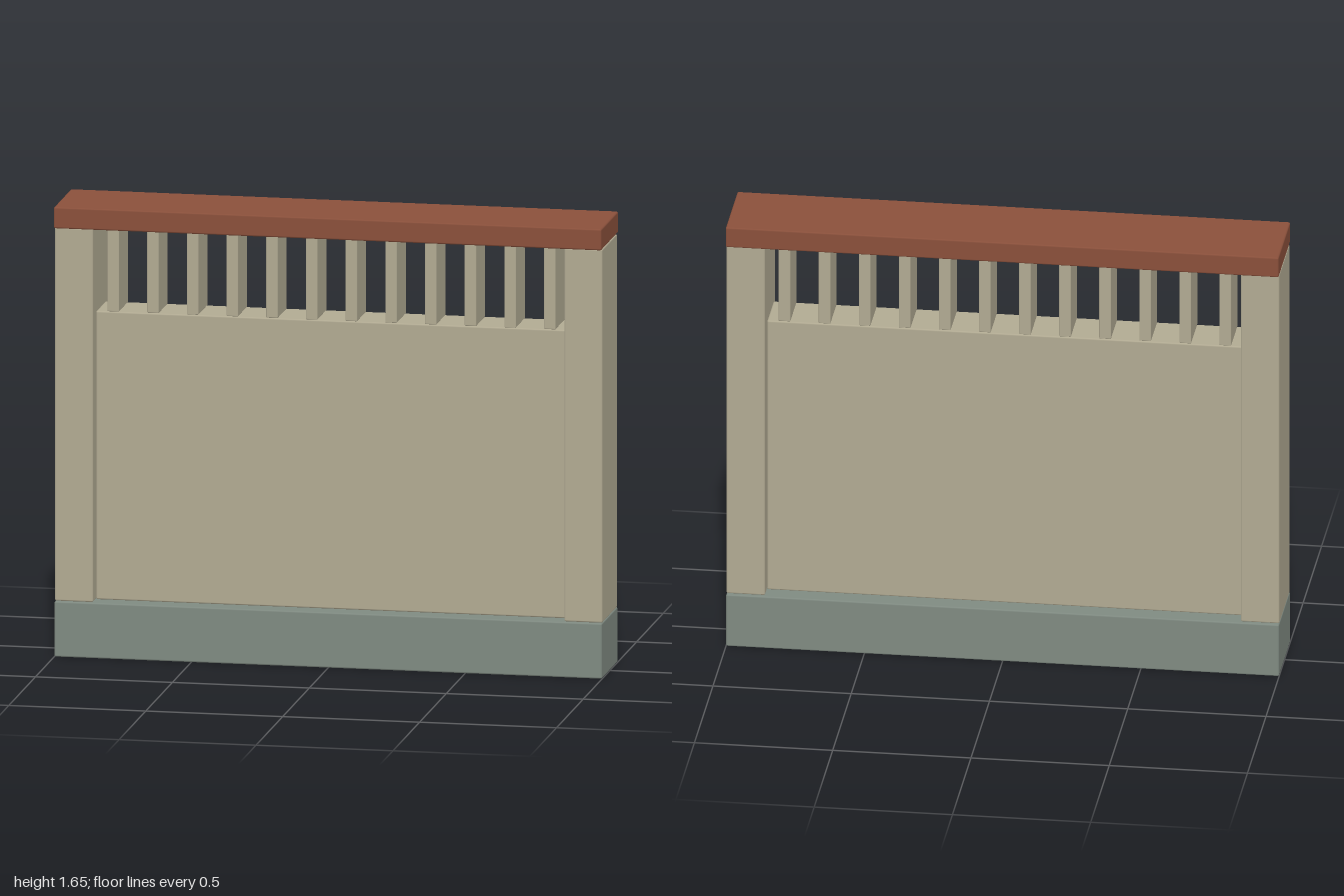
import * as THREE from 'three';
import { RoundedBoxGeometry } from 'three/addons/geometries/RoundedBoxGeometry.js';

const material = (name, color) => {
  const m = new THREE.MeshStandardMaterial({ color });
  m.name = name;
  return m;
};

export function createModel() {
  const wall = new THREE.Group();
  wall.name = 'gardenWall';
  const stone = material('greyStone', 0x7f8a81);
  const plaster = material('beigePlaster', 0xb1aa92);
  const tile = material('redTile', 0x8a503b);

  // Softly bevelled block, standing between y0 and y1
  const block = (name, mat, x, y0, y1, width, depth, bevel = 0.006) => {
    const mesh = new THREE.Mesh(new RoundedBoxGeometry(width, y1 - y0, depth, 1, bevel), mat);
    mesh.name = name;
    mesh.position.set(x, (y0 + y1) / 2, 0);
    wall.add(mesh);
  };

  const baseTop = 0.203, panelTop = 1.26, capBottom = 1.572, capTop = 1.65;

  // Plinth, infill panel and coping
  block('plinth', stone, 0, 0, baseTop, 2, 0.3);
  block('panel', plaster, 0, baseTop, panelTop, 1.72, 0.175);
  block('coping', tile, 0, capBottom, capTop, 2, 0.32);

  // End posts
  for (const side of [-1, 1]) {
    block(side > 0 ? 'leftPost' : 'rightPost', plaster, side * 0.93, baseTop, capBottom, 0.14, 0.28);
  }

  // Row of upright slats between panel and coping
  const count = 12, reach = 0.797;
  for (let i = 0; i < count; i++) {
    const x = -reach + (2 * reach * i) / (count - 1);
    block(`slat${i + 1}`, plaster, x, panelTop, capBottom, 0.043, 0.17, 0.003);
  }
  return wall;
}
